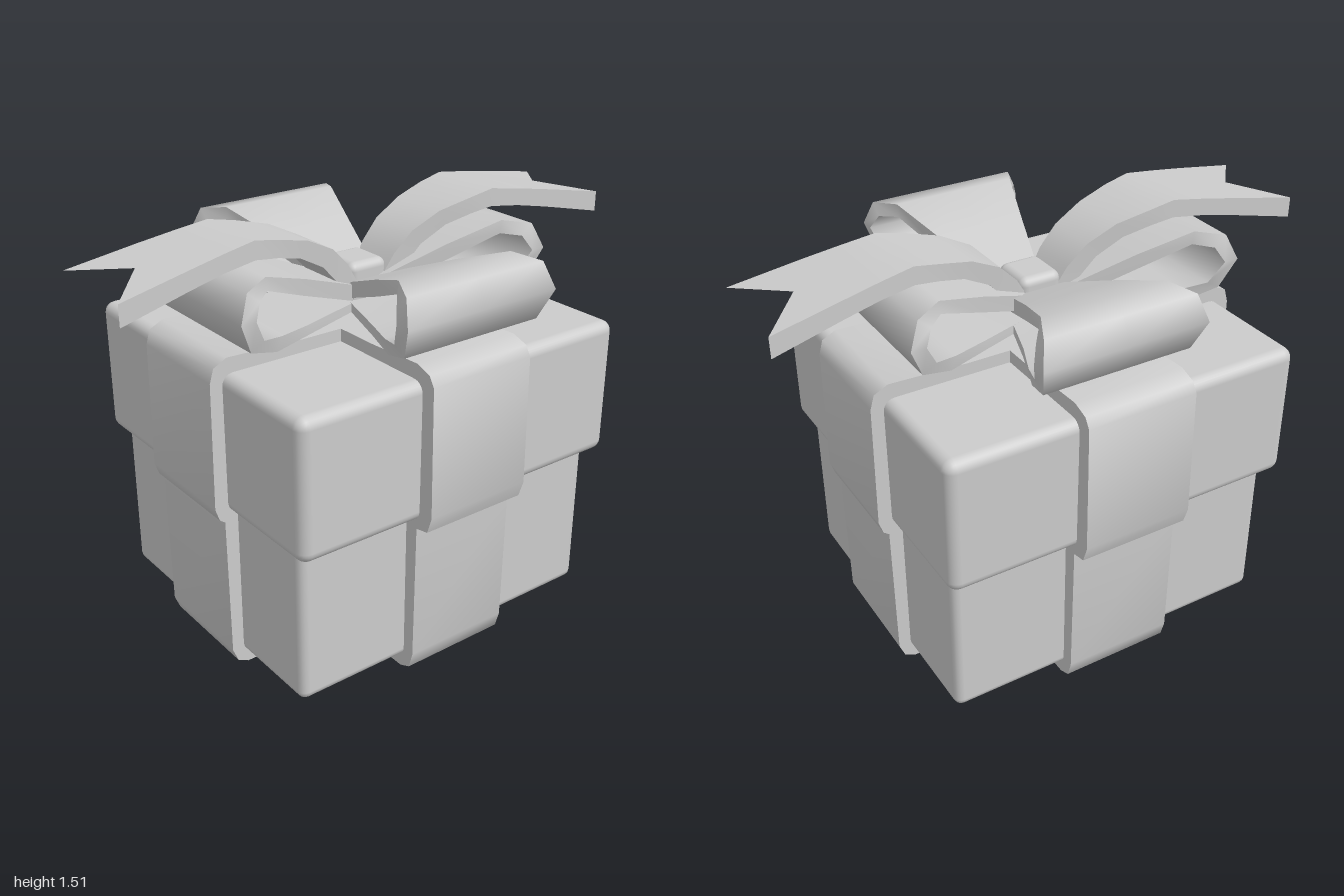
import * as THREE from 'three';
import { mergeGeometries, toCreasedNormals } from 'three/addons/utils/BufferGeometryUtils.js';
import { RoundedBoxGeometry } from 'three/addons/geometries/RoundedBoxGeometry.js';

const material = new THREE.MeshStandardMaterial({ color: 0xcccccc });

function part(name, geometry, x = 0, y = 0, z = 0) {
  const mesh = new THREE.Mesh(geometry, material);
  mesh.name = name;
  mesh.position.set(x, y, z);
  return mesh;
}

// Solid strap: half outline [x, y] mirrored about x = 0, extruded across its width
function strap(half, width) {
  const left = half.map(([x, y]) => [-x, y]).reverse();
  const shape = new THREE.Shape([...half, ...left].map(([x, y]) => new THREE.Vector2(x, y)));
  const geometry = new THREE.ExtrudeGeometry(shape, { depth: width, bevelEnabled: false });
  geometry.translate(0, 0, -width / 2);
  return toCreasedNormals(geometry, 0.9);
}

// Thick cloth running along +x. Station: [outer x, outer y, inner x, inner y, half width].
// notch gives the middle of the last station, for a swallow-tail end.
function cloth(stations, notch) {
  const rings = stations.map(([ox, oy, ix, iy, h], i) => {
    const [mox, moy, mix, miy] = notch && i === stations.length - 1 ? notch : [ox, oy, ix, iy];
    return [[ox, oy, -h], [mox, moy, 0], [ox, oy, h], [ix, iy, h], [mix, miy, 0], [ix, iy, -h]];
  });
  // Each side is its own strip, so it is smooth along its length with sharp edges
  const strip = (rows) => {
    const n = rows[0].length, index = [];
    for (let i = 0; i < rows.length - 1; i++)
      for (let k = 0; k < n - 1; k++) {
        const a = i * n + k, b = a + 1, c = b + n, d = a + n;
        index.push(a, b, c, a, c, d);
      }
    const g = new THREE.BufferGeometry();
    g.setAttribute('position', new THREE.Float32BufferAttribute(rows.flat(2), 3));
    g.setIndex(index);
    g.computeVertexNormals();
    return g.toNonIndexed();
  };
  const sides = [[0, 1, 2], [2, 3], [3, 4, 5], [5, 0]];
  const pieces = sides.map((cols) => strip(rings.map((r) => cols.map((c) => r[c]))));
  const e = rings[rings.length - 1];
  pieces.push(toCreasedNormals(strip([[e[0], e[1], e[2]], [e[5], e[4], e[3]]].reverse()), 0.3));
  return mergeGeometries(pieces);
}

export function createModel() {
  const model = new THREE.Group();
  model.name = 'giftBox';

  // Box and lid
  model.add(part('boxBody', new RoundedBoxGeometry(1.27, 0.65, 1.13, 2, 0.03), 0, 0.375, 0));
  model.add(part('lid', new RoundedBoxGeometry(1.34, 0.5, 1.26, 3, 0.04), 0, 0.87, 0));

  // Two crossing ribbon straps that step out over the lid
  const sideStrap = strap([
    [0.62, 0], [0.66, 0.02], [0.68, 0.07], [0.685, 0.59], [0.705, 0.605], [0.72, 0.65],
    [0.715, 1.1], [0.7, 1.15], [0.65, 1.175], [0.36, 1.165],
  ], 0.41);
  const frontStrap = strap([
    [0.55, 0], [0.595, 0.02], [0.612, 0.08], [0.617, 0.59], [0.67, 0.6], [0.69, 0.66],
    [0.682, 1.12], [0.66, 1.155], [0.6, 1.175], [0.36, 1.165],
  ], 0.41);
  frontStrap.rotateY(Math.PI / 2);
  model.add(part('sideRibbon', sideStrap), part('frontRibbon', frontStrap));

  // Four bow loops, widening from the knot to the tip
  const loop = cloth([
    [0.04, 1.26, 0.05, 1.205, 0.09],
    [0.3, 1.36, 0.31, 1.305, 0.17],
    [0.495, 1.427, 0.49, 1.38, 0.235],
    [0.595, 1.41, 0.55, 1.372, 0.285],
    [0.635, 1.32, 0.58, 1.32, 0.31],
    [0.585, 1.21, 0.535, 1.24, 0.28],
    [0.47, 1.176, 0.45, 1.225, 0.25],
    [0.3, 1.169, 0.3, 1.205, 0.18],
    [0.04, 1.169, 0.04, 1.2, 0.09],
  ]);
  ['leftLoop', 'backLoop', 'rightLoop', 'frontLoop'].forEach((name, i) => {
    const mesh = i % 2 ? part(name, loop, 0.015, 0, 0.025) : part(name, loop, -0.03, 0, 0.015);
    mesh.rotation.y = (i * Math.PI) / 2;
    model.add(mesh);
  });

  // Two arched ribbon tails with notched ends
  const tail = cloth([
    [0.05, 1.26, 0.06, 1.2, 0.08],
    [0.1, 1.34, 0.14, 1.28, 0.09],
    [0.17, 1.41, 0.21, 1.355, 0.1],
    [0.28, 1.465, 0.31, 1.41, 0.115],
    [0.4, 1.495, 0.41, 1.437, 0.135],
    [0.5, 1.515, 0.5, 1.45, 0.143],
    [0.62, 1.497, 0.62, 1.435, 0.153],
    [0.75, 1.475, 0.75, 1.41, 0.165],
    [1, 1.43, 1, 1.355, 0.185],
  ], [0.845, 1.457, 0.845, 1.39]);
  ['leftTail', 'rightTail'].forEach((name, i) => {
    const mesh = part(name, tail, 0, 0, 0.015);
    mesh.rotation.y = i * Math.PI;
    model.add(mesh);
  });

  // Knot
  model.add(part('knot', new RoundedBoxGeometry(0.16, 0.17, 0.17, 3, 0.03), 0, 1.245, 0.01));
  return model;
}
